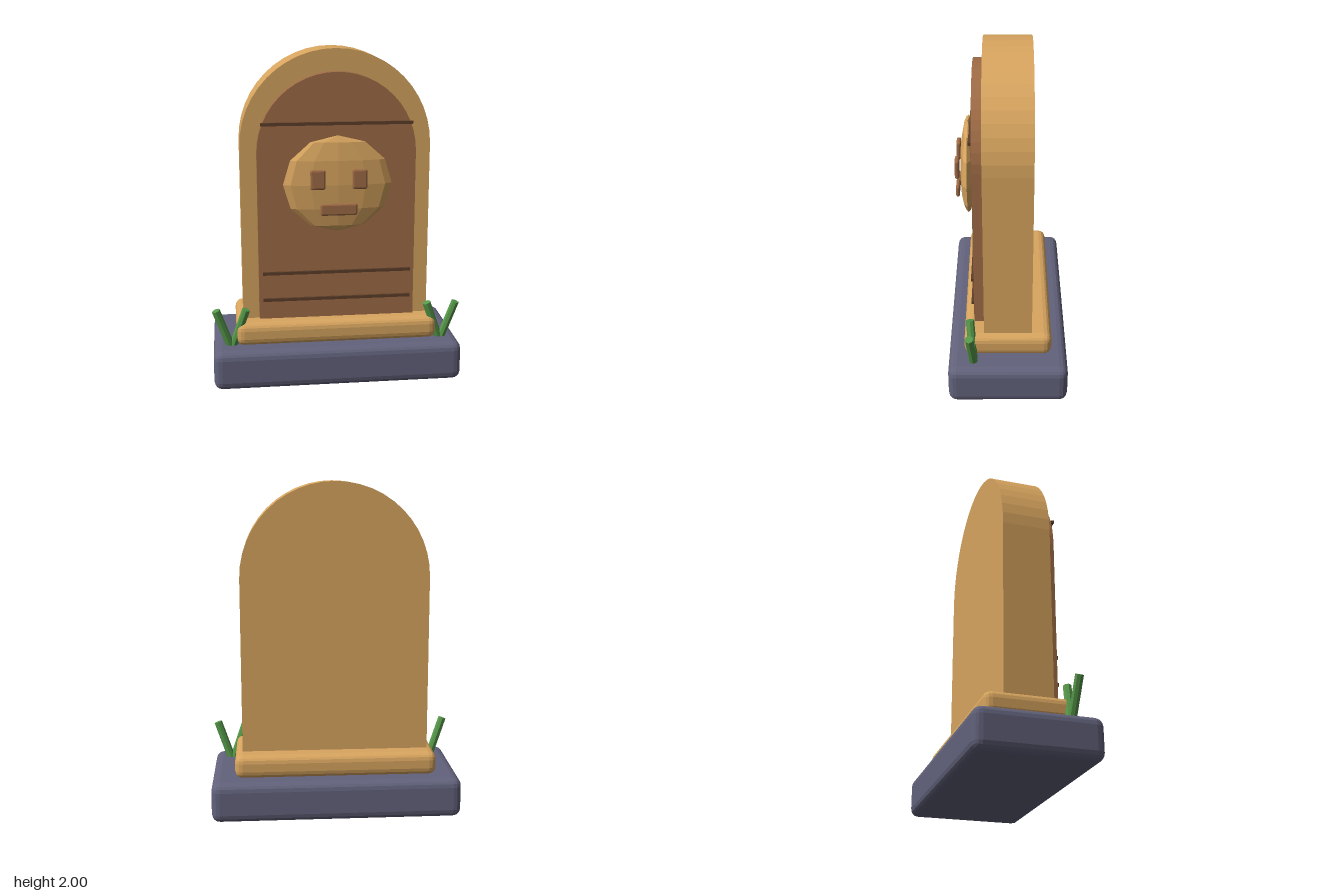
import * as THREE from 'three';
import { RoundedBoxGeometry } from 'three/addons/geometries/RoundedBoxGeometry.js';

const flat = (name, color) => {
  const m = new THREE.MeshStandardMaterial({ color, flatShading: true });
  m.name = name;
  return m;
};

export function createModel() {
  const group = new THREE.Group();
  const sand = flat('sandstone', 0xd8a55f);
  const brown = flat('brown panel', 0xa06c46);
  const dark = flat('dark groove', 0x5c3e28);
  const slate = flat('slate', 0x62627c);
  const green = flat('grass green', 0x57994a);

  const add = (name, geometry, material, x = 0, y = 0, z = 0) => {
    const mesh = new THREE.Mesh(geometry, material);
    mesh.name = name;
    mesh.position.set(x, y, z);
    group.add(mesh);
    return mesh;
  };

  // round-topped slab standing on y = bottom
  const arch = (r, bottom, top, depth) => {
    const s = new THREE.Shape();
    s.moveTo(-r, bottom);
    s.lineTo(r, bottom);
    s.lineTo(r, top - r);
    s.absarc(0, top - r, r, 0, Math.PI, false);
    s.closePath();
    return new THREE.ExtrudeGeometry(s, { depth, bevelEnabled: false, curveSegments: 12 });
  };

  // stepped plinth
  add('base', new RoundedBoxGeometry(1.5, 0.24, 0.71, 2, 0.05), slate, 0, 0.12, 0);
  add('step', new RoundedBoxGeometry(1.22, 0.14, 0.52, 2, 0.045), sand, 0, 0.31, 0);

  // headstone and its raised panel
  add('headstone', arch(0.565, 0.34, 2, 0.285), sand, 0, 0, -0.1425);
  add('panel', arch(0.468, 0.395, 1.87, 0.06), brown, 0, 0, 0.1425);

  // thin bars across the panel
  for (const y of [0.515, 0.68, 1.575]) {
    add('panelBar', new THREE.BoxGeometry(0.89, 0.018, 0.016), dark, 0, y, 0.21);
  }

  // flattened carved face
  const head = add('face', new THREE.SphereGeometry(1, 12, 6), sand, 0, 1.225, 0.236);
  head.scale.set(0.32, 0.285, 0.05);
  for (const side of [-1, 1]) {
    add('eye', new RoundedBoxGeometry(0.088, 0.116, 0.026, 1, 0.01), brown, side * 0.122, 1.263, 0.299);
  }
  add('mouth', new RoundedBoxGeometry(0.216, 0.07, 0.022, 1, 0.01), brown, 0, 1.085, 0.3);

  // a pair of grass blades at each front corner
  const up = new THREE.Vector3(0, 1, 0);
  for (const side of [-1, 1]) {
    for (const lean of [-1, 1]) {
      const a = new THREE.Vector3(side * 0.64 + lean * 0.006, 0.225, 0.205);
      const b = new THREE.Vector3(side * 0.64 + lean * 0.09, 0.465, 0.225);
      const dir = b.clone().sub(a);
      const mid = a.clone().add(b).multiplyScalar(0.5);
      const blade = add('grassBlade', new THREE.CylinderGeometry(0.025, 0.025, dir.length(), 8), green, mid.x, mid.y, mid.z);
      blade.quaternion.setFromUnitVectors(up, dir.normalize());
    }
  }
  return group;
}
